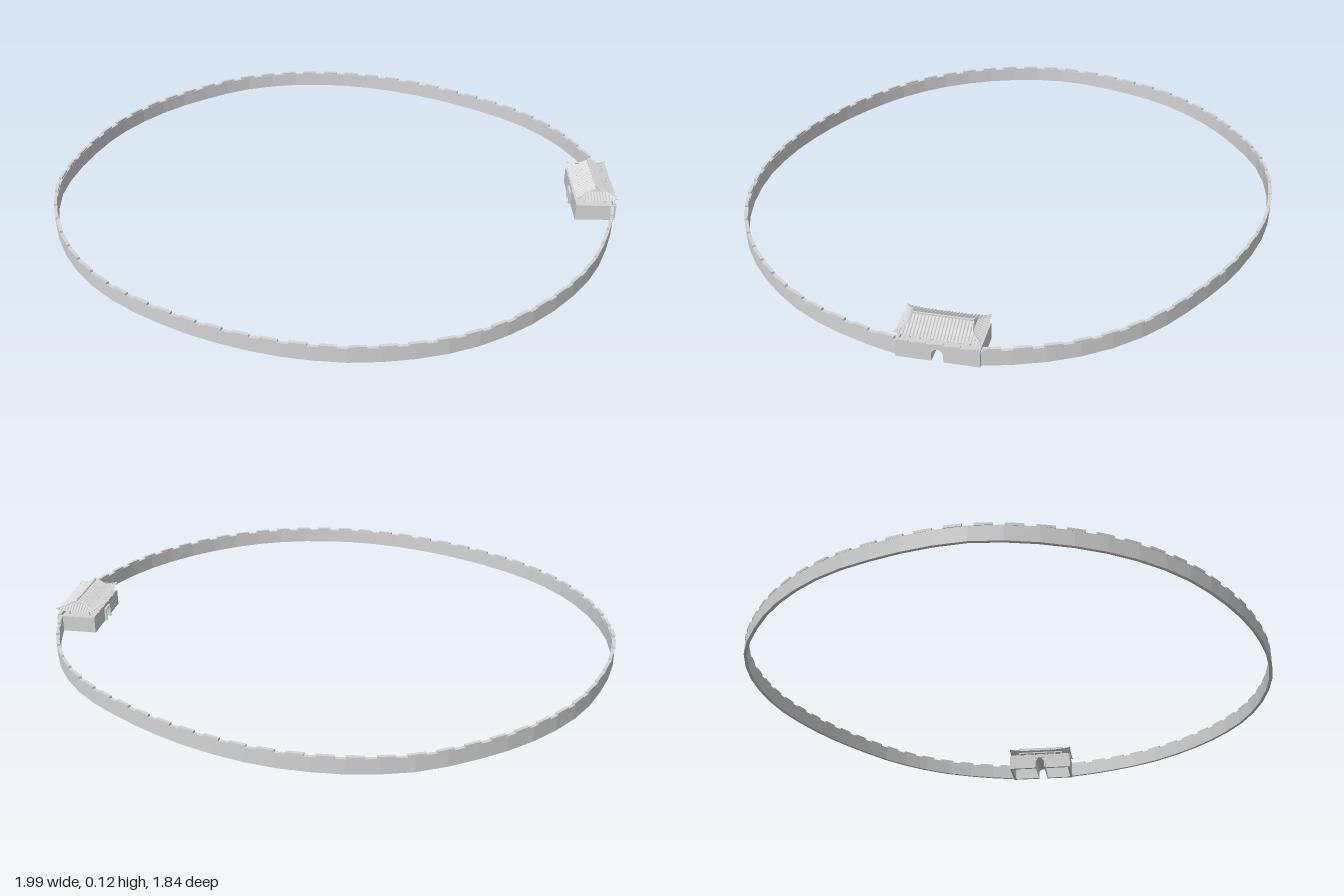
import * as THREE from 'three';

const stone = new THREE.MeshStandardMaterial({ color: 0xd4d4d4, flatShading: true, side: THREE.DoubleSide });
stone.name = 'pale stone';

const WALL_H = 0.052, WALL_T = 0.011, GATE_X = 0.926;

function add(parent, name, geometry, x = 0, y = 0, z = 0) {
  const mesh = new THREE.Mesh(geometry, stone);
  mesh.name = name;
  mesh.position.set(x, y, z);
  parent.add(mesh);
  return mesh;
}
const box = (parent, name, w, h, d, x, y, z) => add(parent, name, new THREE.BoxGeometry(w, h, d), x, y, z);

// Joins rows of points into a quad surface
function loft(rows, closeColumns = false) {
  const pos = [], index = [], n = rows[0].length;
  rows.forEach(r => r.forEach(p => pos.push(p.x, p.y, p.z)));
  for (let i = 0; i < rows.length - 1; i++) {
    for (let j = 0; j < (closeColumns ? n : n - 1); j++) {
      const a = i * n + j, b = i * n + (j + 1) % n;
      index.push(a, b, a + n, b, b + n, a + n);
    }
  }
  const g = new THREE.BufferGeometry();
  g.setAttribute('position', new THREE.Float32BufferAttribute(pos, 3));
  g.setIndex(index);
  const flat = g.toNonIndexed();
  flat.computeVertexNormals();
  return flat;
}

// Centre line of the city wall, running round from one gate side to the other
const outline = [
  [0.985, -0.115], [0.957, -0.22], [0.91, -0.34], [0.86, -0.43], [0.8, -0.51], [0.71, -0.6], [0.6, -0.68],
  [0.4, -0.795], [0.2, -0.872], [0.06, -0.904], [-0.08, -0.914], [-0.22, -0.905], [-0.4, -0.857],
  [-0.6, -0.737], [-0.71, -0.645], [-0.8, -0.543], [-0.865, -0.445], [-0.915, -0.335], [-0.967, -0.17],
  [-0.991, 0], [-0.967, 0.17], [-0.915, 0.32], [-0.865, 0.415], [-0.8, 0.508], [-0.71, 0.603],
  [-0.6, 0.688], [-0.4, 0.8], [-0.2, 0.872], [-0.05, 0.902], [0.1, 0.91], [0.3, 0.882], [0.46, 0.825],
  [0.6, 0.74], [0.705, 0.65], [0.8, 0.543], [0.86, 0.455], [0.905, 0.365], [0.957, 0.225], [0.985, 0.115],
];

function cityWall() {
  const group = new THREE.Group();
  group.name = 'cityWall';
  const curve = new THREE.CatmullRomCurve3(outline.map(([x, z]) => new THREE.Vector3(x, 0, z)));
  const rows = [], segments = 56, h = WALL_T / 2;
  for (let i = 0; i <= segments; i++) {
    const p = curve.getPointAt(i / segments), t = curve.getTangentAt(i / segments);
    const at = (s, y) => new THREE.Vector3(p.x - t.z * s, y, p.z + t.x * s);
    rows.push([at(h, 0), at(-h, 0), at(-h, WALL_H), at(h, WALL_H)]);
  }
  add(group, 'wallRing', loft(rows, true));

  // Battlements along the top
  const count = 64, merlon = new THREE.BoxGeometry(WALL_T, 0.008, 0.055);
  for (let i = 0; i < count; i++) {
    const u = (i + 0.5) / count, p = curve.getPointAt(u), t = curve.getTangentAt(u);
    add(group, 'merlon', merlon, p.x, WALL_H + 0.0035, p.z).rotation.y = Math.atan2(t.x, t.z);
  }
  return group;
}

// Hollow gate platform with an arched passage along x
function gateBase() {
  const group = new THREE.Group();
  group.name = 'gateBase';
  const hx = 0.07, hz = 0.128, top = 0.058, r = 0.018, spring = 0.024, t = 0.01;
  const face = new THREE.Shape();
  face.moveTo(-hz, 0);
  face.lineTo(-r, 0);
  face.lineTo(-r, spring);
  face.absarc(0, spring, r, Math.PI, 0, true);
  face.lineTo(r, 0);
  face.lineTo(hz, 0);
  face.lineTo(hz, top);
  face.lineTo(-hz, top);
  const faceGeo = new THREE.ExtrudeGeometry(face, { depth: t, bevelEnabled: false, curveSegments: 10 });
  faceGeo.rotateY(Math.PI / 2);
  add(group, 'outerFace', faceGeo, hx - t);
  add(group, 'innerFace', faceGeo, -hx);

  // Vaulted passage lining
  const lining = [-hx, hx].map(x => {
    const row = [new THREE.Vector3(x, 0, r)];
    for (let i = 0; i <= 10; i++) {
      const a = Math.PI * i / 10;
      row.push(new THREE.Vector3(x, spring + r * Math.sin(a), r * Math.cos(a)));
    }
    row.push(new THREE.Vector3(x, 0, -r));
    return row;
  });
  add(group, 'passageVault', loft(lining));

  // Deck, end walls and parapet teeth
  box(group, 'deck', hx * 2 - 0.002, 0.004, hz * 2 - 0.002, 0, 0.048, 0);
  for (const s of [-1, 1]) {
    box(group, 'endWall', hx * 2, top, t, 0, top / 2, s * (hz - t / 2));
    for (let i = -2; i <= 2; i++)
      box(group, 'parapetTooth', t, 0.004, 0.034, s * (hx - t / 2), top + 0.001, i * 0.052);
  }
  // Frame around the inner doorway
  for (const s of [-1, 1]) box(group, 'doorJamb', 0.008, 0.042, 0.005, -hx - 0.004, 0.021, s * 0.0205);
  box(group, 'doorLintel', 0.008, 0.005, 0.046, -hx - 0.004, 0.0445, 0);
  return group;
}

// Half width, half length and height of the roof from eave to ridge
const roofRings = [[0.07, 0.13, 0.079], [0.05, 0.113, 0.087], [0.034, 0.098, 0.096], [0.002, 0.094, 0.111]];

function ringAt(t) {
  const i = Math.min(2, Math.floor(t)), f = t - i;
  return roofRings[i].map((v, k) => v + (roofRings[i + 1][k] - v) * f);
}
// Upturn of the eaves towards the corners
const lift = (ratio, t) => 0.008 * Math.pow(Math.min(1, Math.abs(ratio)), 4) * Math.pow(Math.max(0, 1 - t / 2), 2);

function sidePoint(s, z, t) {
  const [hx, hz, y] = ringAt(t);
  return new THREE.Vector3(s * hx, y + lift(z / hz, t), z);
}
function endPoint(s, x, t) {
  const [hx, hz, y] = ringAt(t);
  return new THREE.Vector3(x, y + lift(x / hx, t), s * hz);
}

function gateRoof() {
  const group = new THREE.Group();
  group.name = 'gateRoof';
  const n = 10, rows = [];
  for (let t = 0; t <= 3; t += 0.5) {
    const [hx, hz] = ringAt(t), row = [];
    for (let i = 0; i < n; i++) row.push(sidePoint(1, hz * (1 - 2 * i / n), t));
    for (let i = 0; i < n; i++) row.push(endPoint(-1, hx * (1 - 2 * i / n), t));
    for (let i = 0; i < n; i++) row.push(sidePoint(-1, hz * (2 * i / n - 1), t));
    for (let i = 0; i < n; i++) row.push(endPoint(1, hx * (2 * i / n - 1), t));
    rows.push(row);
  }
  add(group, 'roofShell', loft(rows, true));

  // Square-section rib following the roof surface
  const rib = (name, points, radius) => {
    if (points.length < 2) return;
    add(group, name, new THREE.TubeGeometry(new THREE.CatmullRomCurve3(points), 5, radius, 4));
  };
  const steps = Array.from({ length: 13 }, (_, i) => i / 4);
  for (const s of [-1, 1]) {
    // Tile ribs on the long slopes and the hipped ends
    for (let i = -12; i <= 12; i++) {
      const z = i * 0.0102;
      rib('tileRib', steps.filter(t => ringAt(t)[1] >= Math.abs(z)).map(t => sidePoint(s, z, t)), 0.0022);
    }
    for (let i = -6; i <= 6; i++) {
      const x = i * 0.0102;
      rib('endRib', steps.filter(t => t <= 2 && ringAt(t)[0] >= Math.abs(x)).map(t => endPoint(s, x, t)), 0.0022);
    }
    // Hip ridges and ridge ends
    for (const e of [-1, 1]) rib('hipRidge', steps.map(t => sidePoint(e, s * ringAt(t)[1], t)), 0.003);
    box(group, 'ridgeEnd', 0.007, 0.009, 0.008, 0, 0.1135, s * 0.091);
  }
  box(group, 'mainRidge', 0.006, 0.006, 0.186, 0, 0.112, 0);
  return group;
}

function gatehouse() {
  const group = new THREE.Group();
  group.name = 'gatehouse';
  group.position.x = GATE_X;
  group.add(gateBase(), gateRoof());
  // Open pavilion columns and their beams
  const column = new THREE.CylinderGeometry(0.0028, 0.0028, 0.034, 8);
  for (const x of [-0.038, 0.038]) {
    for (const z of [-0.09, -0.06, -0.025, 0.025, 0.06, 0.09]) add(group, 'column', column, x, 0.065, z);
    box(group, 'longBeam', 0.005, 0.005, 0.186, x, 0.08, 0);
  }
  for (const z of [-0.09, 0.09]) box(group, 'crossBeam', 0.08, 0.005, 0.005, 0, 0.08, z);
  return group;
}

export function createModel() {
  const model = new THREE.Group();
  model.name = 'walledCity';
  model.add(cityWall(), gatehouse());
  return model;
}
